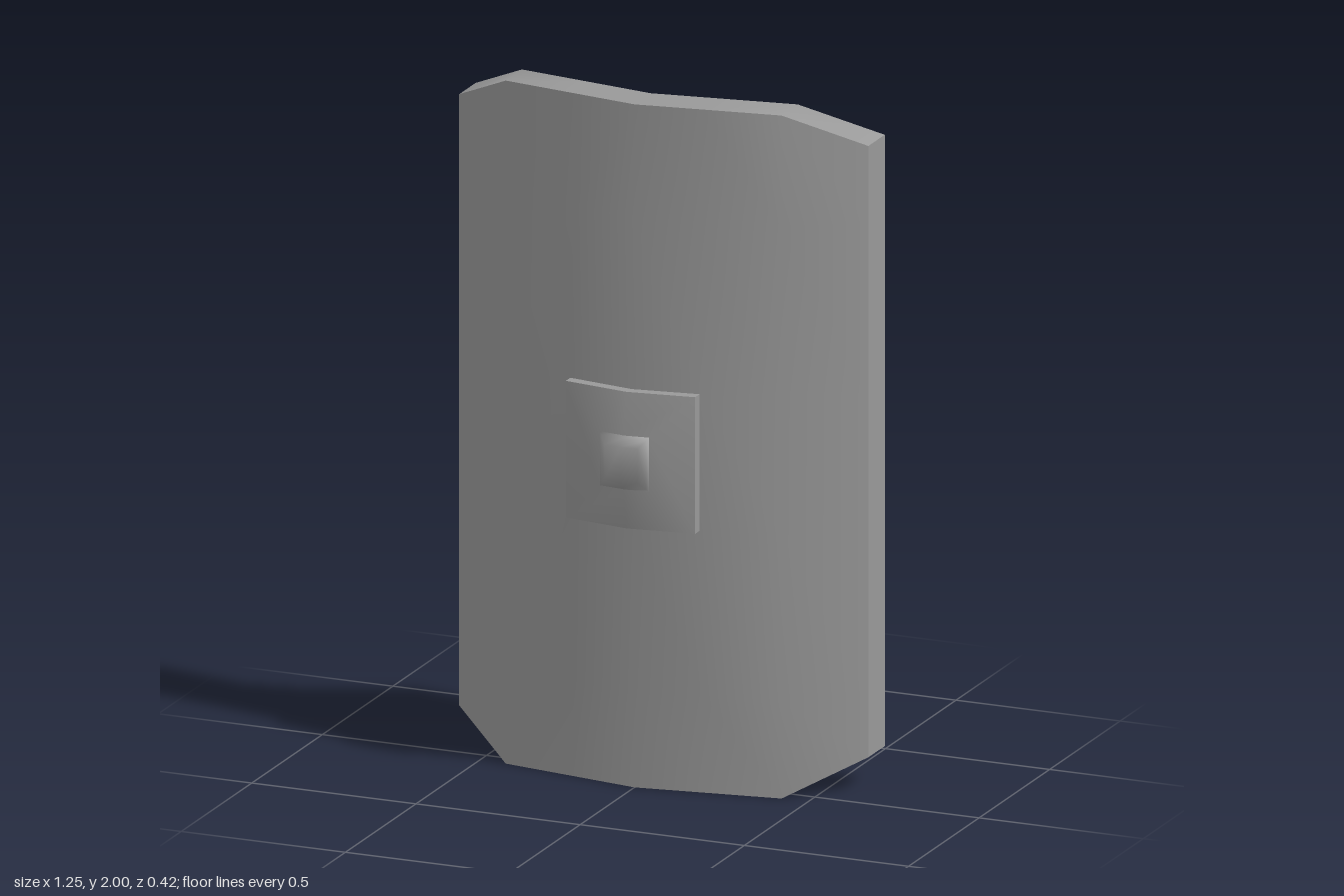
import * as THREE from 'three';
import { toCreasedNormals } from 'three/addons/utils/BufferGeometryUtils.js';

const material = new THREE.MeshStandardMaterial({ color: 0x999999 });

// Collects quads given counter-clockwise as seen from outside
function quadMesh(name, quads, crease) {
  const positions = [];
  for (const [a, b, c, d] of quads) positions.push(...a, ...b, ...c, ...a, ...c, ...d);
  const geometry = new THREE.BufferGeometry();
  geometry.setAttribute('position', new THREE.Float32BufferAttribute(positions, 3));
  const mesh = new THREE.Mesh(toCreasedNormals(geometry, crease), material);
  mesh.name = name;
  return mesh;
}

// Curved panel whose front swells behind the boss plate
function shieldBody() {
  // x, front z, back z, share of the bulge
  const half = [[0, 0.115, 0, 1], [0.2, 0.084, -0.031, 1], [0.42, 0.05, -0.065, 0], [0.623, -0.093, -0.209, 0]];
  const mirrored = half.slice(1).reverse().map(([x, ...rest]) => [-x, ...rest]);
  const columns = [...mirrored, ...half];
  const rows = [[0, 0], [0.28, 0], [0.77, 0.02], [1.17, 0.02], [1.67, 0], [2, 0]];
  const right = columns.length - 1, top = rows.length - 1;
  const point = (i, j, back) => {
    const [x, zFront, zBack, share] = columns[i];
    const [rowY, bulge] = rows[j];
    // Clipped corners
    const y = i === 0 || i === right ? THREE.MathUtils.clamp(rowY, 0.105, 1.895) : rowY;
    return [x, y, back ? zBack : zFront + share * bulge];
  };
  const quads = [];
  for (let i = 0; i < right; i++) {
    for (let j = 0; j < top; j++) {
      const front = [point(i, j), point(i + 1, j), point(i + 1, j + 1), point(i, j + 1)];
      const back = [point(i + 1, j, true), point(i, j, true), point(i, j + 1, true), point(i + 1, j + 1, true)];
      // Mirror the diagonals about the centre line
      if (i >= right / 2) {
        front.push(front.shift());
        back.push(back.shift());
      }
      quads.push(front, back);
    }
    // Top and bottom rims
    quads.push([point(i, top), point(i + 1, top), point(i + 1, top, true), point(i, top, true)]);
    quads.push([point(i, 0, true), point(i + 1, 0, true), point(i + 1, 0), point(i, 0)]);
  }
  // Side rims
  for (let j = 0; j < top; j++) {
    quads.push([point(right, j), point(right, j, true), point(right, j + 1, true), point(right, j + 1)]);
    quads.push([point(0, j, true), point(0, j), point(0, j + 1), point(0, j + 1, true)]);
  }
  return quadMesh('shieldBody', quads, 0.8);
}

// Stack of rectangles folded along the middle; level = [halfWidth, halfHeight, centre z, side z]
function foldedStack(name, levels, crease) {
  const cx = -0.003, cy = 0.972;
  const rings = levels.map(([w, h, zc, zs]) => [
    [cx - w, cy - h, zs], [cx, cy - h, zc], [cx + w, cy - h, zs],
    [cx + w, cy + h, zs], [cx, cy + h, zc], [cx - w, cy + h, zs],
  ]);
  const quads = [];
  for (let k = 0; k < rings.length - 1; k++) {
    for (let i = 0; i < 6; i++) {
      const n = (i + 1) % 6;
      quads.push([rings[k][i], rings[k][n], rings[k + 1][n], rings[k + 1][i]]);
    }
  }
  // Front and back caps
  const f = rings[rings.length - 1], b = rings[0];
  quads.push([f[0], f[1], f[4], f[5]], [f[1], f[2], f[3], f[4]]);
  quads.push([b[5], b[4], b[1], b[0]], [b[4], b[3], b[2], b[1]]);
  return quadMesh(name, quads, crease);
}

export function createModel() {
  const group = new THREE.Group();
  group.name = 'shield';
  group.add(shieldBody());
  group.add(foldedStack('bossPlate', [[0.197, 0.2, 0.13, 0.103], [0.197, 0.2, 0.165, 0.136], [0.075, 0.08, 0.188, 0.178]], 0.8));
  group.add(foldedStack('boss', [[0.075, 0.08, 0.187, 0.177], [0.07, 0.072, 0.193, 0.187], [0.05, 0.05, 0.209, 0.204]], 1.5));
  return group;
}
